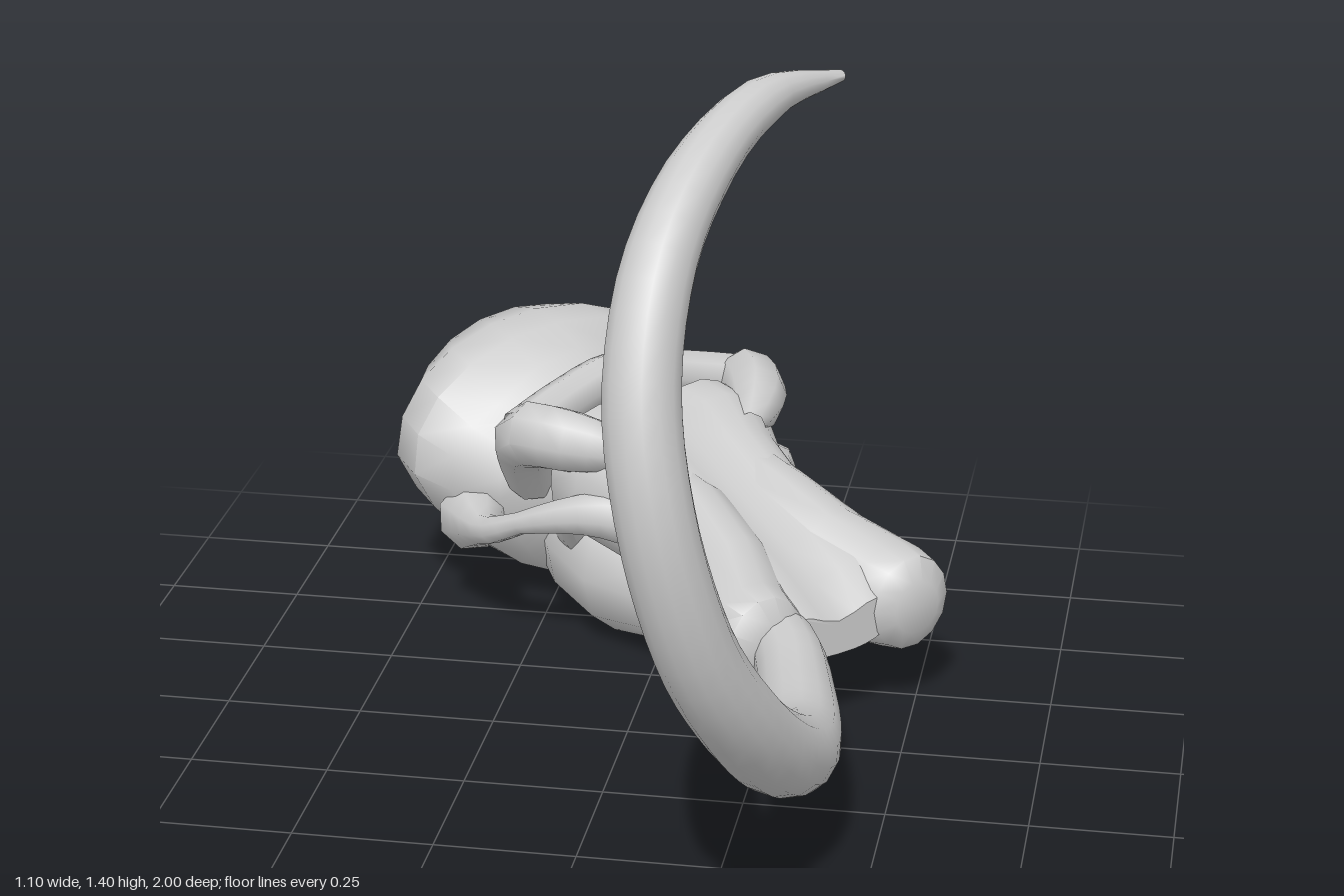
import * as THREE from 'three';
import { toCreasedNormals } from 'three/addons/utils/BufferGeometryUtils.js';

const material = new THREE.MeshStandardMaterial({ color: 0xcccccc, side: THREE.DoubleSide });

function addMesh(parent, name, geometry) {
  const mesh = new THREE.Mesh(geometry, material);
  mesh.name = name;
  parent.add(mesh);
}

// Closed loft along z. Each section: [z, halfWidth, yBottom, yTop, xCentre]
function loft(sections, sides, power = 1, rule = null) {
  const pos = [], index = [];
  const bend = (t) => Math.sign(t) * Math.pow(Math.abs(t), power);
  const push = (x, y, z) => {
    const p = new THREE.Vector3(x, y, z);
    if (rule) rule(p);
    pos.push(p.x, p.y, p.z);
  };
  for (const [z, w, y0, y1, cx = 0] of sections) {
    for (let j = 0; j < sides; j++) {
      const a = (j / sides) * Math.PI * 2;
      push(cx + w * bend(Math.cos(a)), (y0 + y1) / 2 + ((y1 - y0) / 2) * bend(Math.sin(a)), z);
    }
  }
  const last = sections.length - 1, cap = sections.length * sides;
  for (const [z, , y0, y1, cx = 0] of [sections[0], sections[last]]) push(cx, (y0 + y1) / 2, z);
  for (let j = 0; j < sides; j++) {
    const k = (j + 1) % sides;
    for (let i = 0; i < last; i++) {
      const a = i * sides + j, b = i * sides + k;
      index.push(a, b, a + sides, b, b + sides, a + sides);
    }
    index.push(cap, k, j, cap + 1, last * sides + j, last * sides + k);
  }
  const g = new THREE.BufferGeometry();
  g.setAttribute('position', new THREE.Float32BufferAttribute(pos, 3));
  g.setIndex(index);
  return toCreasedNormals(g, 0.85);
}

// Tube through points, its radius following a list of evenly spaced values
function taperedTube(points, radii, segments, sides) {
  const curve = new THREE.CatmullRomCurve3(points.map((p) => new THREE.Vector3(...p)));
  const g = new THREE.TubeGeometry(curve, segments, 1, sides);
  const pos = g.attributes.position, v = new THREE.Vector3();
  for (let i = 0; i <= segments; i++) {
    const c = curve.getPointAt(i / segments);
    const t = (i / segments) * (radii.length - 1), k = Math.min(Math.floor(t), radii.length - 2);
    const r = THREE.MathUtils.lerp(radii[k], radii[k + 1], t - k);
    for (let j = 0; j <= sides; j++) {
      const n = i * (sides + 1) + j;
      v.fromBufferAttribute(pos, n).sub(c).multiplyScalar(r).add(c);
      pos.setXYZ(n, v.x, v.y, v.z);
    }
  }
  return toCreasedNormals(g, 0.9);
}

export function createModel() {
  const model = new THREE.Group();
  model.name = 'tuskedSkull';

  // Skull is built facing its own +z, then turned
  const skull = new THREE.Group();
  skull.name = 'skull';
  skull.position.set(0.226, 0, -0.226);
  skull.rotation.y = Math.PI / 4;
  model.add(skull);

  // Broad braincase, narrower below and in front, hollowed at the temples, pitted at the back
  addMesh(skull, 'cranium', loft([
    [-0.9, 0.04, 0.17, 0.25], [-0.905, 0.09, 0.17, 0.38], [-0.895, 0.15, 0.16, 0.45],
    [-0.85, 0.25, 0.1, 0.51], [-0.77, 0.33, 0.06, 0.53], [-0.69, 0.345, 0.04, 0.525],
    [-0.62, 0.31, 0.03, 0.49], [-0.56, 0.24, 0.03, 0.465], [-0.48, 0.17, 0.05, 0.45],
    [-0.38, 0.15, 0.08, 0.38],
  ], 20, 0.95, (p) => {
    if (p.y < 0.3) p.x *= 1 - 1.1 * (0.3 - p.y);
    if (p.z < -0.84) p.z += 0.05 * Math.exp(-(p.x ** 2 + (p.y - 0.21) ** 2) / 0.002);
    if (p.y > 0.3) p.y -= 0.05 * Math.exp(-(((Math.abs(p.x) - 0.19) / 0.07) ** 2 + ((p.z + 0.58) / 0.06) ** 2));
  }));

  // Sloping face plate, with a groove down the middle
  addMesh(skull, 'face', loft([
    [-0.5, 0.15, 0.1, 0.36], [-0.42, 0.19, 0.13, 0.4], [-0.38, 0.23, 0.2, 0.49],
    [-0.3, 0.23, 0.2, 0.485], [-0.2, 0.185, 0.17, 0.45], [-0.08, 0.168, 0.15, 0.4],
    [0.05, 0.17, 0.13, 0.35], [0.14, 0.17, 0.13, 0.31], [0.21, 0.12, 0.15, 0.26],
  ], 28, 0.8, (p) => {
    if (p.y > 0.25 && p.z > -0.4) p.y -= 0.045 * Math.exp(-((p.x / 0.07) ** 2));
  }));

  // Cheek teeth and palate
  addMesh(skull, 'upperJaw', loft([
    [-0.66, 0.1, 0.05, 0.3], [-0.5, 0.16, 0.015, 0.3], [-0.36, 0.17, 0, 0.27],
    [-0.2, 0.13, 0.03, 0.24], [-0.12, 0.08, 0.08, 0.2],
  ], 12, 0.8));

  // Bony rim arching across above the nasal opening
  addMesh(skull, 'nasalRim', taperedTube([
    [-0.26, 0.43, -0.43], [-0.13, 0.46, -0.47], [0, 0.48, -0.49], [0.13, 0.46, -0.47], [0.26, 0.43, -0.43],
  ], [0.05, 0.045, 0.045, 0.045, 0.05], 14, 8));

  for (const s of [-1, 1]) {
    const side = s > 0 ? 'left' : 'right';
    // Flared tusk sockets with rounded ends
    addMesh(skull, side + 'Socket', loft([
      [-0.25, 0.08, 0.22, 0.42, s * 0.09], [-0.1, 0.088, 0.15, 0.4, s * 0.09],
      [0.05, 0.095, 0.12, 0.35, s * 0.115], [0.16, 0.1, 0.11, 0.31, s * 0.16],
      [0.21, 0.085, 0.12, 0.3, s * 0.165], [0.235, 0.05, 0.16, 0.26, s * 0.16],
    ], 14));
    // Brow that turns down behind the eye socket
    addMesh(skull, side + 'Brow', taperedTube([
      [s * 0.13, 0.42, -0.24], [s * 0.21, 0.435, -0.33], [s * 0.25, 0.43, -0.42],
      [s * 0.22, 0.37, -0.48], [s * 0.17, 0.29, -0.53],
    ], [0.03, 0.06, 0.065, 0.055, 0.05], 10, 8));
    // Cheek arch, thin in the middle with a heavy root behind
    addMesh(skull, side + 'CheekArch', taperedTube([
      [s * 0.13, 0.3, -0.2], [s * 0.21, 0.31, -0.27], [s * 0.285, 0.28, -0.37],
      [s * 0.305, 0.23, -0.48], [s * 0.25, 0.2, -0.62],
    ], [0.06, 0.04, 0.022, 0.03, 0.07], 12, 8));
  }

  // Single long tusk curling forward, up and back
  addMesh(model, 'tusk', taperedTube([
    [0.2, 0.21, -0.1], [0.29, 0.2, 0.03], [0.335, 0.185, 0.2], [0.365, 0.193, 0.4],
    [0.355, 0.275, 0.6], [0.32, 0.4, 0.76], [0.265, 0.57, 0.88], [0.212, 0.8, 0.935],
    [0.182, 1.0, 0.9], [0.192, 1.18, 0.8], [0.24, 1.3, 0.65], [0.31, 1.36, 0.5],
    [0.41, 1.36, 0.35],
  ], [0.06, 0.065, 0.072, 0.075, 0.073, 0.07, 0.066, 0.064, 0.063, 0.06, 0.053, 0.04, 0.01], 48, 14));

  return model;
}
